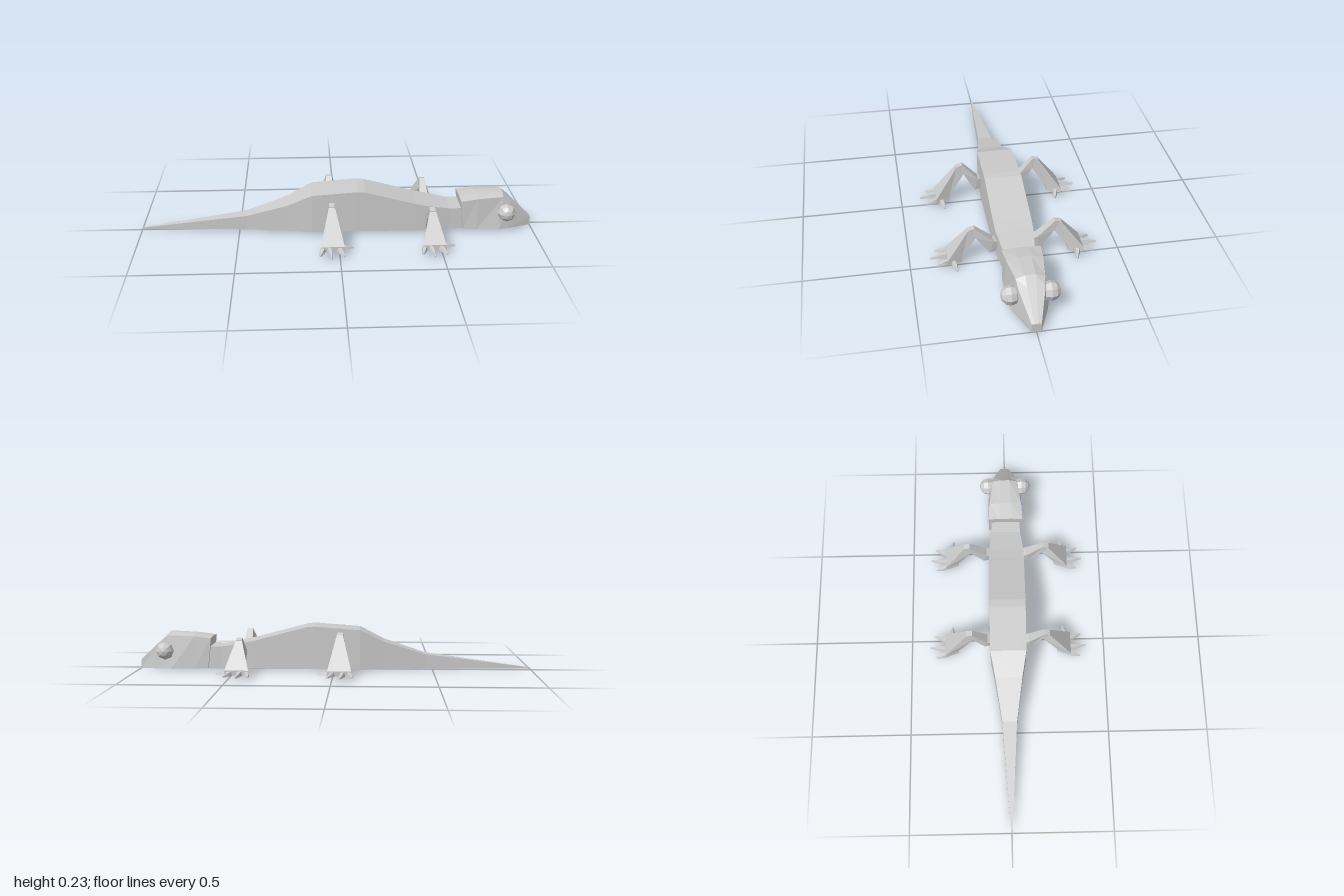
import * as THREE from 'three';

const material = new THREE.MeshStandardMaterial({ color: 0xcccccc, flatShading: true });

// Skin a closed solid over rings of [x, y, z] points, with fan caps.
function loft(name, rings) {
  const tris = [];
  const n = rings[0].length;
  for (let r = 0; r < rings.length - 1; r++) {
    for (let i = 0; i < n; i++) {
      const j = (i + 1) % n;
      const [a, b, c, d] = [rings[r][i], rings[r][j], rings[r + 1][j], rings[r + 1][i]];
      tris.push([a, b, c], [a, c, d]);
    }
  }
  const last = rings[rings.length - 1];
  for (let i = 1; i < n - 1; i++) {
    tris.push([rings[0][0], rings[0][i + 1], rings[0][i]], [last[0], last[i], last[i + 1]]);
  }
  // Turn all faces outward: the signed volume must be positive.
  const v = (p) => new THREE.Vector3(...p);
  const o = v(rings[0][0]);
  let volume = 0;
  for (const [a, b, c] of tris) {
    volume += v(a).sub(o).dot(v(b).sub(o).cross(v(c).sub(o)));
  }
  if (volume < 0) tris.forEach((t) => t.reverse());
  const geometry = new THREE.BufferGeometry();
  geometry.setAttribute('position', new THREE.Float32BufferAttribute(tris.flat(2), 3));
  geometry.computeVertexNormals();
  const mesh = new THREE.Mesh(geometry, material);
  mesh.name = name;
  return mesh;
}

// Body and tail: boxy sections of x, bottom, top, half width.
function makeBody() {
  const sections = [
    [-1, 0.006, 0.012, 0.003], [-0.46, 0.008, 0.083, 0.037], [-0.25, 0.01, 0.15, 0.068],
    [-0.13, 0.011, 0.21, 0.09], [0.1, 0.011, 0.227, 0.092], [0.14, 0.011, 0.224, 0.092],
    [0.4, 0.011, 0.155, 0.092], [0.46, 0.011, 0.142, 0.09], [0.57, 0.011, 0.122, 0.076],
    [0.66, 0.011, 0.122, 0.073],
  ];
  return loft('bodyAndTail', sections.map(([x, b, t, w]) => [
    [x, b, -w], [x, b, w], [x, t, w], [x, t, -w],
  ]));
}

// Head: bottom x, bottom y, bottom half width, top x, shoulder y, shoulder half width, crown y.
function makeHead() {
  const sections = [
    [0.64, 0.012, 0.09, 0.625, 0.163, 0.09, 0.168],
    [0.71, 0.01, 0.092, 0.71, 0.174, 0.085, 0.183],
    [0.83, 0.007, 0.09, 0.845, 0.176, 0.066, 0.19],
    [0.88, 0.005, 0.074, 0.885, 0.148, 0.06, 0.152],
    [1, 0, 0.022, 1, 0.044, 0.022, 0.046],
  ];
  return loft('head', sections.map(([bx, by, bw, tx, sy, sw, cy]) => [
    [bx, by, -bw], [bx, by, bw], [tx, sy, sw], [tx, cy, sw * 0.35], [tx, cy, -sw * 0.35], [tx, sy, -sw],
  ]));
}

function makeEye(side) {
  const eye = new THREE.Mesh(new THREE.SphereGeometry(0.046, 8, 6), material);
  eye.name = side > 0 ? 'leftEye' : 'rightEye';
  eye.rotation.x = Math.PI / 2;
  eye.position.set(0.86, 0.1, 0.09 * side);
  return eye;
}

// Leg built outward along z; each ring runs from an upper/outer to a lower/inner edge.
function makeLeg(name, x, side, hip, knee) {
  const leg = new THREE.Group();
  leg.name = name;
  leg.position.x = x;
  const ring = (oz, oy, ow, iz, iy, iw) => [
    [-ow, oy, oz * side], [ow, oy, oz * side], [iw, iy, iz * side], [-iw, iy, iz * side],
  ];
  const [kz, ky] = knee;
  leg.add(loft('upperLeg', [
    ring(0.075, hip + 0.025, 0.02, 0.08, hip - 0.025, 0.014),
    ring(0.105, hip + 0.035, 0.024, 0.12, hip - 0.035, 0.018),
    ring(kz, ky, 0.014, kz - 0.005, ky - 0.055, 0.018),
    ring(kz + 0.03, ky - 0.008, 0.014, kz + 0.01, ky - 0.055, 0.016),
  ]));
  leg.add(loft('lowerLeg', [
    ring(kz + 0.005, ky - 0.002, 0.012, kz - 0.008, ky - 0.05, 0.016),
    ring(kz + 0.03, ky - 0.01, 0.015, kz, ky - 0.06, 0.018),
    ring(0.325, 0.04, 0.058, 0.255, 0.04, 0.034),
    ring(0.325, 0.015, 0.06, 0.255, 0.015, 0.036),
  ]));
  // Toes: base x, base z, tip x, tip z.
  const toes = [
    [-0.045, 0.315, -0.062, 0.375], [-0.017, 0.315, -0.006, 0.404],
    [0.03, 0.315, 0.056, 0.38], [0.035, 0.3, 0.105, 0.285],
  ];
  for (const [bx, bz, tx, tz] of toes) {
    const length = Math.hypot(tx - bx, tz - bz);
    const px = (tz - bz) / length, pz = (bx - tx) / length;
    leg.add(loft('toe', [[0, 0.014, 0.037], [0.5, 0.012, 0.03], [1, 0.004, 0.021]].map(([t, w, top]) => {
      const cx = bx + (tx - bx) * t, cz = bz + (tz - bz) * t;
      return [
        [cx - px * w, 0.015, (cz - pz * w) * side], [cx + px * w, 0.015, (cz + pz * w) * side],
        [cx + px * w * 0.6, top, (cz + pz * w * 0.6) * side], [cx - px * w * 0.6, top, (cz - pz * w * 0.6) * side],
      ];
    })));
  }
  return leg;
}

export function createModel() {
  const model = new THREE.Group();
  model.name = 'lizard';
  model.add(makeBody(), makeHead());
  for (const side of [-1, 1]) {
    model.add(makeEye(side));
    model.add(makeLeg('foreLeg', 0.462, side, 0.07, [0.192, 0.183]));
    model.add(makeLeg('hindLeg', -0.034, side, 0.09, [0.182, 0.21]));
  }
  return model;
}
